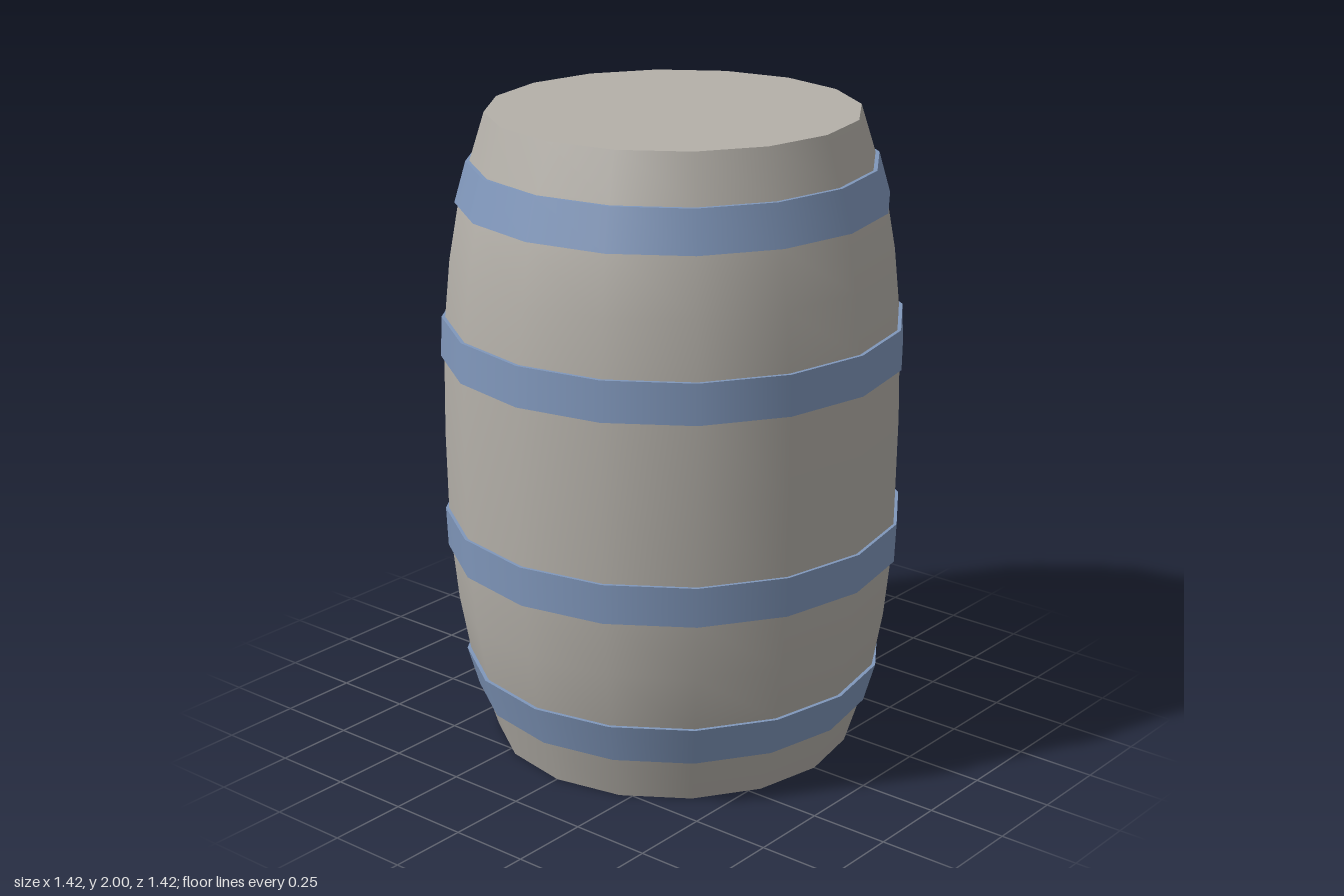
import * as THREE from 'three';

const SIDES = 16;

export function createModel() {
  const barrel = new THREE.Group();
  barrel.name = 'barrel';
  const wood = new THREE.MeshStandardMaterial({ color: 0xb4b0a9 });
  wood.name = 'grey staves';
  const steel = new THREE.MeshStandardMaterial({ color: 0x8097bb });
  steel.name = 'blue hoops';

  // Revolves one smooth [radius, y] profile; separate profiles keep sharp edges between them
  function revolve(name, profile, material, parent) {
    const points = profile.map(([r, y]) => new THREE.Vector2(r, y));
    const mesh = new THREE.Mesh(new THREE.LatheGeometry(points, SIDES), material);
    mesh.name = name;
    parent.add(mesh);
  }

  // Bulging body, mirrored about mid height
  const lower = [[0.564, 0], [0.608, 0.14], [0.647, 0.275], [0.678, 0.45], [0.696, 0.63], [0.702, 0.75]];
  const upper = lower.map(([r, y]) => [r, 2 - y]).reverse();
  revolve('body', [...lower, [0.706, 1], ...upper], wood, barrel);

  // Flat lids
  revolve('topLid', [[0.564, 2], [0, 2]], wood, barrel);
  revolve('bottomLid', [[0, 0], [0.564, 0]], wood, barrel);

  // Hoops: outer face plus the narrow top and bottom rims
  function hoop(name, bottom, top) {
    const group = new THREE.Group();
    group.name = name;
    const inset = ([r, y]) => [r - 0.02, y];
    revolve('hoopFace', [bottom, top], steel, group);
    revolve('hoopTopRim', [top, inset(top)], steel, group);
    revolve('hoopBottomRim', [inset(bottom), bottom], steel, group);
    barrel.add(group);
  }
  const flip = ([r, y]) => [r, 2 - y];
  const end = [[0.622, 0.147], [0.658, 0.273]];
  const middle = [[0.707, 0.628], [0.712, 0.752]];
  hoop('bottomHoop', end[0], end[1]);
  hoop('lowerHoop', middle[0], middle[1]);
  hoop('upperHoop', flip(middle[1]), flip(middle[0]));
  hoop('topHoop', flip(end[1]), flip(end[0]));

  return barrel;
}
